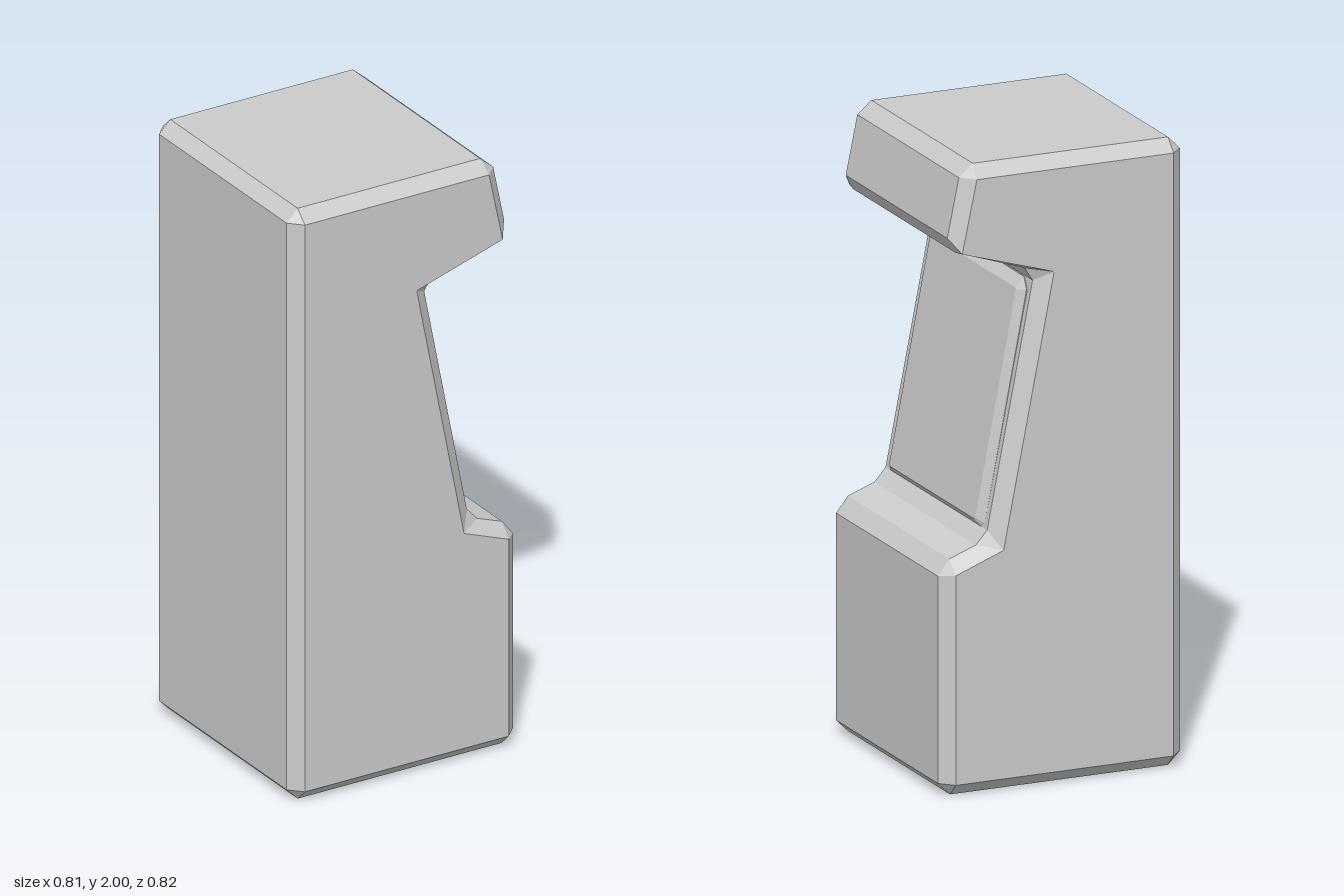
import * as THREE from 'three';

const material = new THREE.MeshStandardMaterial({ color: 0xcccccc, flatShading: true });

// Skin a stack of counter-clockwise outlines along z and close both ends.
function loft(rings) {
  const pos = [];
  const tri = (...pts) => pts.forEach(p => pos.push(...p));
  const n = rings[0].pts.length;
  const at = (ring, i) => [...ring.pts[i % n], ring.z];
  for (let r = 0; r < rings.length - 1; r++) {
    for (let i = 0; i < n; i++) {
      const a = at(rings[r], i), b = at(rings[r], i + 1);
      const c = at(rings[r + 1], i + 1), d = at(rings[r + 1], i);
      const same = (p, q) => p.every((v, k) => v === q[k]);
      if (!same(a, b)) tri(a, b, c);
      if (!same(c, d)) tri(a, c, d);
    }
  }
  for (const [ring, front] of [[rings[0], false], [rings[rings.length - 1], true]]) {
    const unique = ring.pts.filter((p, i) => p !== ring.pts[(i + 1) % n]);
    const v = unique.map(p => new THREE.Vector2(...p));
    for (const [a, b, c] of THREE.ShapeUtils.triangulateShape(v, [])) {
      const [p, q, s] = [a, b, c].map(k => [...unique[k], ring.z]);
      front ? tri(p, q, s) : tri(p, s, q);
    }
  }
  const geo = new THREE.BufferGeometry();
  geo.setAttribute('position', new THREE.Float32BufferAttribute(pos, 3));
  geo.computeVertexNormals();
  return geo;
}

// Each corner: point on the flat side, then the two ends of its chamfer.
const corners = [
  [[-0.368, 0.04], [-0.408, 0.04], [-0.368, 0]],
  [[0.365, 0.04], [0.365, 0], [0.406, 0.04]],
  [[0.365, 0.707], [0.406, 0.70], [0.367, 0.75]],
  [[0.204, 0.768], [0.278, 0.783], [0.24, 0.825]],
  [[0.034, 1.634], [0.087, 1.602], [0.115, 1.645]],
  [[0.343, 1.728], [0.347, 1.723], [0.374, 1.772]],
  [[0.294, 1.96], [0.335, 1.96], [0.288, 2]],
  [[-0.368, 1.96], [-0.368, 2], [-0.408, 1.96]],
];

function cabinetGeometry() {
  const side = corners.flatMap(([s]) => [s, s]);
  const body = corners.flatMap(([, a, b]) => [a, b]);
  return loft([
    { pts: side, z: -0.408 }, { pts: body, z: -0.366 },
    { pts: body, z: 0.366 }, { pts: side, z: 0.408 },
  ]);
}

// Rectangle outline with cut corners.
function panelOutline(w, bottom, top, cutLow, cutHigh) {
  return [
    [-w + cutLow, bottom], [w - cutLow, bottom], [w, bottom + cutLow], [w, top - cutHigh],
    [w - cutHigh, top], [-w + cutHigh, top], [-w, top - cutHigh], [-w, bottom + cutLow],
  ];
}

export function createModel() {
  const model = new THREE.Group();

  // Chamfered cabinet, its front towards +x
  const cabinet = new THREE.Mesh(cabinetGeometry(), material);
  cabinet.name = 'cabinet';
  model.add(cabinet);

  // Raised screen on the sloping front
  const screen = new THREE.Mesh(loft([
    { pts: panelOutline(0.343, -0.395, 0.393, 0.015, 0.033), z: -0.02 },
    { pts: panelOutline(0.343, -0.395, 0.393, 0.015, 0.033), z: 0.002 },
    { pts: panelOutline(0.31, -0.377, 0.355, 0.005, 0.005), z: 0.021 },
  ]), material);
  screen.name = 'screen';
  screen.position.set(0.163, 1.213, 0);
  screen.rotation.set(-Math.atan(0.193), Math.PI / 2, 0, 'YXZ');
  model.add(screen);

  return model;
}
